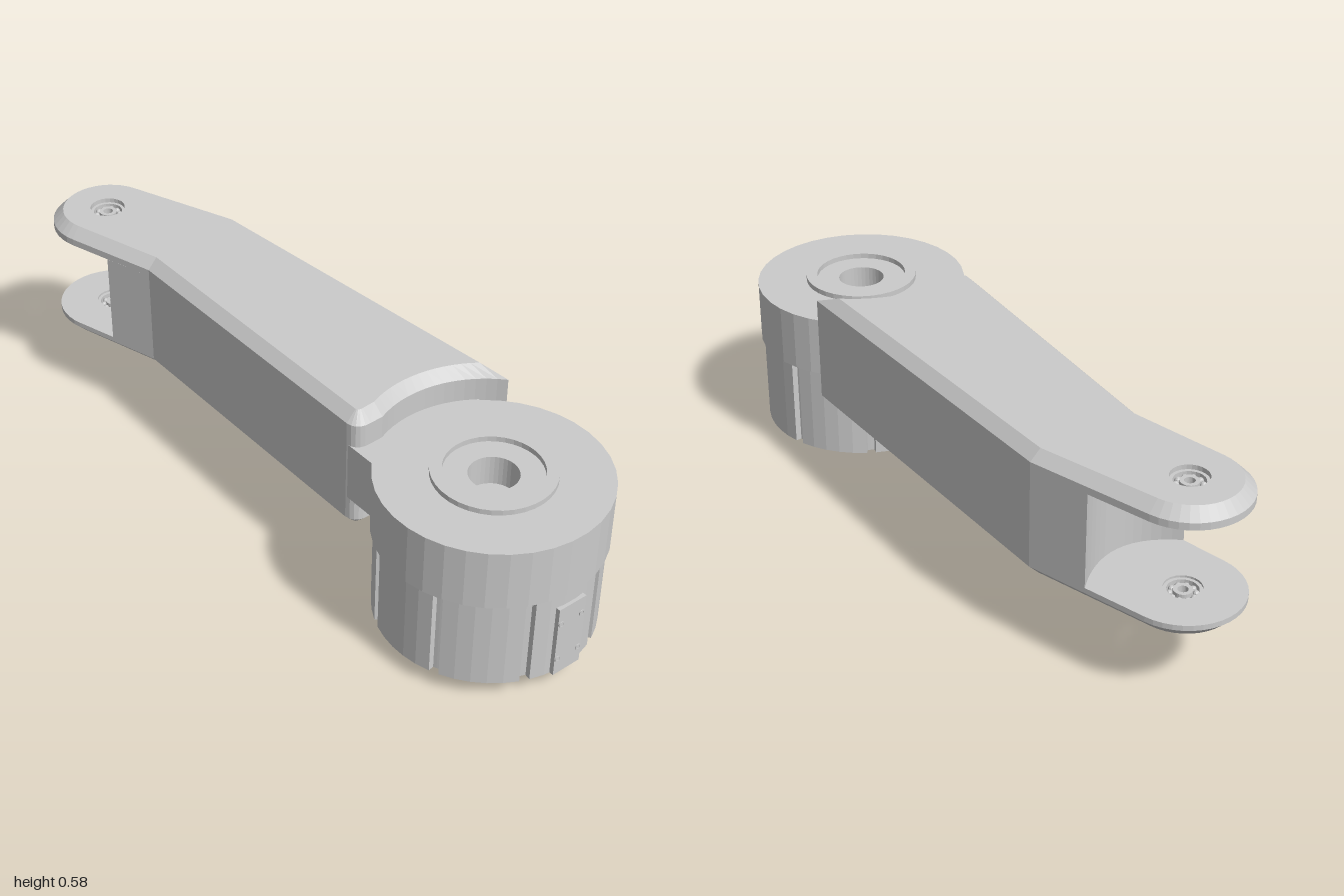
import * as THREE from 'three';

const material = new THREE.MeshStandardMaterial({ color: 0xcccccc, flatShading: true, side: THREE.DoubleSide });
const V = (x, y) => new THREE.Vector2(x, y);
const JOINT_Z = 0.695, TIP_Z = -0.84;

function add(parent, name, geometry, x = 0, y = 0, z = 0) {
  const mesh = new THREE.Mesh(geometry, material);
  mesh.name = name;
  mesh.position.set(x, y, z);
  parent.add(mesh);
  return mesh;
}

// Points on an arc, angles in degrees
function arc(cx, cy, r, from, to, n) {
  return Array.from({ length: n + 1 }, (_, i) => {
    const a = THREE.MathUtils.degToRad(from + (to - from) * i / n);
    return V(cx + r * Math.cos(a), cy + r * Math.sin(a));
  });
}

// Plan outlines are drawn as (x, -z) and extruded upwards from y0 to y1
function slab(points, y0, y1) {
  return new THREE.ExtrudeGeometry(new THREE.Shape(points), { depth: y1 - y0, bevelEnabled: false })
    .rotateX(-Math.PI / 2).translate(0, y0, 0);
}

// Arm plan inset by d; the forked version ends in a hollow curve instead of the round tip
function armOutline(d, forked = false) {
  const R = 0.31 + d, xr = 0.25 - d, deg = THREE.MathUtils.radToDeg;
  const tail = forked
    ? new THREE.QuadraticBezierCurve(V(0.2025, 0.71), V(0.03, 0.54), V(-0.131, 0.68)).getPoints(14)
    : arc(0, -TIP_Z, 0.16 - d, 16, 192, 20);
  const corner = new THREE.QuadraticBezierCurve(
    V(-0.185 + d, -0.36), V(-0.185 + d, -0.4 + d), V(-0.14, -0.4 + d)).getPoints(5);
  const hollow = arc(0, -JOINT_Z, R, deg(Math.acos(-0.1 / R)), deg(Math.acos(xr / R)), 14);
  return [V(xr, 0.54), ...tail, V(-0.1 + d, 0.53), ...corner, ...hollow];
}

// Chamfered arm plate with a bearing hole, lofted through [y, inset] levels
function armPlate(levels) {
  const pos = [];
  const put = (p, y) => pos.push(p.x, y, -p.y);
  const hole = arc(0, -TIP_Z, 0.05, 360, 0, 24).slice(0, -1);
  const rings = levels.map(([, d]) => armOutline(d));
  const wall = (a, b, y0, y1) => a.forEach((p, i) => {
    const j = (i + 1) % a.length;
    put(p, y0); put(a[j], y0); put(b[j], y1);
    put(p, y0); put(b[j], y1); put(b[i], y1);
  });
  for (let k = 0; k + 1 < levels.length; k++) {
    wall(rings[k], rings[k + 1], levels[k][0], levels[k + 1][0]);
    wall(hole, hole, levels[k][0], levels[k + 1][0]);
  }
  for (const k of [0, levels.length - 1]) {
    const all = [...rings[k], ...hole];
    for (const [a, b, c] of THREE.ShapeUtils.triangulateShape(rings[k], [hole]))
      (k ? [a, b, c] : [a, c, b]).forEach(i => put(all[i], levels[k][0]));
  }
  const g = new THREE.BufferGeometry();
  g.setAttribute('position', new THREE.Float32BufferAttribute(pos, 3));
  g.computeVertexNormals();
  return g;
}

// Flat ring with square section
function ring(r0, r1, h, n = 24) {
  return new THREE.LatheGeometry([V(r0, 0), V(r1, 0), V(r1, h), V(r0, h), V(r0, 0)], n);
}

function makeBearing(y) {
  const g = new THREE.Group();
  g.name = 'pivotBearing';
  g.position.set(0, y, TIP_Z);
  add(g, 'outerRace', ring(0.041, 0.051, 0.026));
  add(g, 'innerRace', ring(0.014, 0.025, 0.026));
  for (let i = 0; i < 10; i++) {
    const a = i * Math.PI / 5;
    add(g, 'bearingBall', new THREE.SphereGeometry(0.009, 8, 6), 0.033 * Math.cos(a), 0.013, 0.033 * Math.sin(a));
  }
  return g;
}

// Screwed cover on the side of the motor housing
function makeCover(angle) {
  const g = new THREE.Group();
  g.name = 'sideCover';
  g.rotation.y = angle;
  add(g, 'coverPlate', new THREE.BoxGeometry(0.09, 0.219, 0.025), 0, 0.1625, 0.292);
  for (const x of [-0.035, 0.035]) for (const y of [0.104, 0.221]) {
    add(g, 'coverScrewRim', ring(0.006, 0.009, 0.003, 14).rotateX(Math.PI / 2), x, y, 0.304);
    add(g, 'coverScrew', new THREE.CylinderGeometry(0.006, 0.006, 0.002, 6).rotateX(Math.PI / 2), x, y, 0.305);
  }
  return g;
}

function makeJoint() {
  const joint = new THREE.Group();
  joint.name = 'joint';
  joint.position.z = JOINT_Z;

  // Upper drum with raised collar and centre bore
  add(joint, 'upperDrum', new THREE.LatheGeometry([
    V(0, 0.313), V(0.305, 0.313), V(0.305, 0.485), V(0.162, 0.485), V(0.162, 0.5), V(0.13, 0.5),
    V(0.13, 0.485), V(0.066, 0.485), V(0.066, 0.4), V(0, 0.4)], 36));

  // Lower housing with eight vertical grooves
  const plan = [];
  for (let k = 0; k < 8; k++) {
    const a = -90 - 5 + 22.5 + 45 * k;
    plan.push(...arc(0, 0, 0.279, a - 2, a + 2, 2), ...arc(0, 0, 0.296, a + 2.6, a + 42.4, 5));
  }
  add(joint, 'motorHousing', slab(plan, 0.052, 0.314));
  joint.add(makeCover(-0.087), makeCover(Math.PI - 0.087));
  for (let i = 0; i < 16; i++) {
    const a = (i + 0.5) * Math.PI / 8;
    add(joint, 'housingScrew', new THREE.CylinderGeometry(0.008, 0.008, 0.006, 8),
      0.25 * Math.cos(a), 0.05, 0.25 * Math.sin(a));
  }

  // Base with two rim walls left open at front and back
  add(joint, 'base', new THREE.CylinderGeometry(0.185, 0.185, 0.034, 36), 0, 0.037, 0);
  for (const mid of [0, 180])
    add(joint, 'baseRim', slab([...arc(0, 0, 0.185, mid - 60, mid + 60, 16),
      ...arc(0, 0, 0.168, mid + 60, mid - 60, 16)], 0, 0.022));

  // Cooling pins in staggered rows, beside a flat connector
  const spots = [];
  for (let row = 0; row < 15; row++) for (let col = 0; col < 13; col++) {
    const x = -0.08 + col * 0.02 + (row % 2) * 0.01, z = -0.154 + row * 0.022;
    if (Math.hypot(x, z) < 0.16) spots.push([x, z]);
  }
  const pins = new THREE.Group();
  pins.name = 'coolingPins';
  const pin = new THREE.CylinderGeometry(0.006, 0.006, 0.022, 6);
  spots.forEach(([x, z]) => add(pins, 'coolingPin', pin, x, 0.012, z));
  joint.add(pins);
  add(joint, 'pinDivider', new THREE.BoxGeometry(0.008, 0.018, 0.27), -0.094, 0.013, 0);
  add(joint, 'connector', new THREE.BoxGeometry(0.04, 0.012, 0.1), -0.125, 0.016, 0);
  return joint;
}

function makeArm() {
  const arm = new THREE.Group();
  arm.name = 'arm';
  add(arm, 'armBody', slab(armOutline(0, true), 0.26, 0.53));
  add(arm, 'upperForkPlate', armPlate([[0.53, 0], [0.55, 0], [0.58, 0.03]]));
  add(arm, 'lowerForkPlate', armPlate([[0.215, 0.03], [0.245, 0], [0.26, 0]]));
  arm.add(makeBearing(0.541), makeBearing(0.228));
  // Bridge joining the arm to the drum
  add(arm, 'bridge', slab([V(-0.182, -0.34), V(-0.195, -0.48), V(0.2, -0.48), V(0.2, -0.34)], 0.313, 0.484));
  return arm;
}

export function createModel() {
  const model = new THREE.Group();
  model.name = 'armSegment';
  model.add(makeJoint(), makeArm());
  return model;
}
